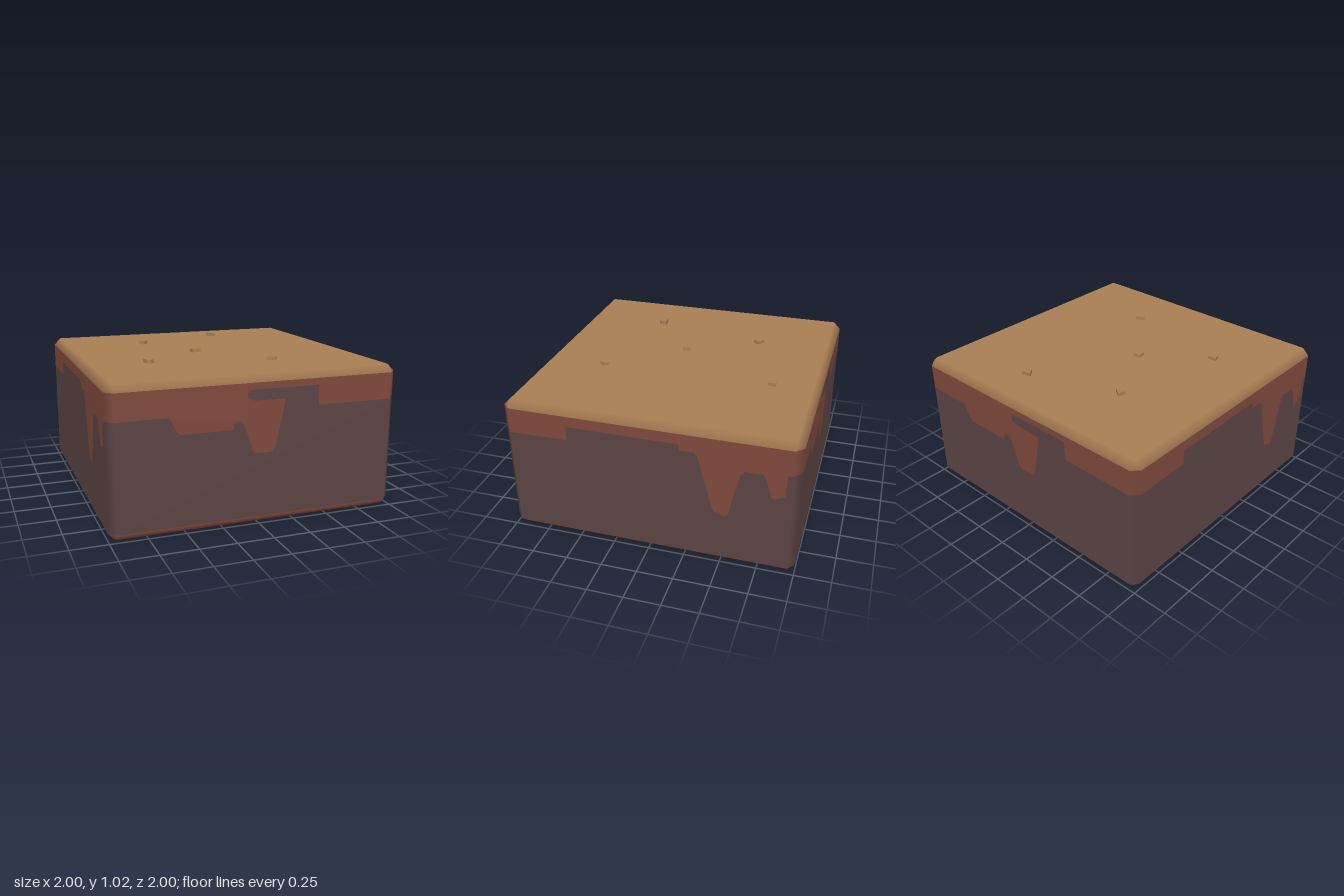
import * as THREE from 'three';

const H = 1, E = 0.95, C = 0.05, BAND = 0.77; // height, inner edge, chamfer, soil line

// Lower edge of the soil layer, left to right across a side (u, y)
const FRONT_EDGE = [
  [-0.95, 0.77], [-0.61, 0.77], [-0.59, 0.74], [-0.56, 0.68], [-0.53, 0.655], [-0.185, 0.655],
  [-0.18, 0.69], [-0.16, 0.71], [-0.13, 0.705], [-0.11, 0.68], [-0.05, 0.505], [-0.03, 0.485],
  [0.09, 0.485], [0.11, 0.52], [0.16, 0.76], [0.175, 0.83], [-0.05, 0.835], [-0.085, 0.85],
  [-0.09, 0.885], [-0.06, 0.905], [0.41, 0.905], [0.415, 0.77], [0.95, 0.77],
];
const SIDE_EDGE = [
  [-0.95, 0.77], [-0.545, 0.775], [-0.54, 0.875], [0.22, 0.875], [0.225, 0.83], [0.32, 0.83],
  [0.345, 0.8], [0.44, 0.44], [0.455, 0.405], [0.53, 0.38], [0.545, 0.395], [0.62, 0.72],
  [0.645, 0.75], [0.765, 0.75], [0.785, 0.72], [0.82, 0.59], [0.84, 0.58], [0.91, 0.61],
  [0.915, 0.76], [0.93, 0.77], [0.95, 0.77],
];

// Pebble outlines on the top (x, z)
const PEBBLES = [
  [[-0.4, -0.485], [-0.345, -0.445], [-0.38, -0.405], [-0.415, -0.43]],
  [[0.235, -0.69], [0.305, -0.7], [0.3, -0.645], [0.27, -0.64]],
  [[-0.1, 0.015], [-0.08, 0.07], [-0.145, 0.075], [-0.15, 0.03]],
  [[-0.59, 0.345], [-0.525, 0.345], [-0.525, 0.38], [-0.55, 0.405], [-0.575, 0.395]],
  [[0.24, 0.54], [0.3, 0.505], [0.32, 0.54], [0.3, 0.575]],
];

const toShape = (points) => new THREE.Shape(points.map(([x, y]) => new THREE.Vector2(x, y)));

// Triangle or quad whose corners take the normal of the flat face they touch
function facet(corners) {
  const normals = corners.flatMap(([x, y, z]) =>
    y === H ? [0, 1, 0] : y === 0 ? [0, -1, 0] : x === 1 ? [1, 0, 0] : [0, 0, z]);
  const geometry = new THREE.BufferGeometry();
  geometry.setAttribute('position', new THREE.Float32BufferAttribute(corners.flat(), 3));
  geometry.setAttribute('normal', new THREE.Float32BufferAttribute(normals, 3));
  geometry.setIndex(corners.length === 4 ? [0, 1, 2, 0, 2, 3] : [0, 1, 2]);
  return geometry;
}

function verticalChamfer(y0, y1) {
  return facet([[E, y0, 1], [1, y0, E], [1, y1, E], [E, y1, 1]]);
}

export function createModel() {
  const sand = new THREE.MeshStandardMaterial({ name: 'sand', color: 0xa97e54 });
  const soil = new THREE.MeshStandardMaterial({ name: 'redSoil', color: 0x80493c });
  const rock = new THREE.MeshStandardMaterial({ name: 'darkRock', color: 0x5c4444 });

  const model = new THREE.Group();
  model.name = 'groundBlock';
  const add = (parent, name, geometry, material) => {
    const mesh = new THREE.Mesh(geometry, material);
    mesh.name = name;
    parent.add(mesh);
    return mesh;
  };

  // Four sides, each with its chamfers and right-hand corner
  ['front', 'right', 'back', 'left'].forEach((name, i) => {
    const side = new THREE.Group();
    side.name = `${name}Side`;
    side.rotation.y = i * Math.PI / 2;
    model.add(side);

    const edge = i % 2 ? SIDE_EDGE : FRONT_EDGE;
    const upper = new THREE.ShapeGeometry(toShape([...edge, [E, E], [-E, E]]));
    const lower = new THREE.ShapeGeometry(toShape([...edge, [E, C], [-E, C]]));
    add(side, 'soilLayer', upper.translate(0, 0, 1), soil);
    add(side, 'rockFace', lower.translate(0, 0, 1), rock);

    add(side, 'soilCornerEdge', verticalChamfer(BAND, E), soil);
    add(side, 'rockCornerEdge', verticalChamfer(C, BAND), rock);
    add(side, 'topEdge', facet([[-E, E, 1], [E, E, 1], [E, H, E], [-E, H, E]]), sand);
    add(side, 'topCorner', facet([[E, E, 1], [1, E, E], [E, H, E]]), sand);
    add(side, 'bottomEdge', facet([[-E, 0, E], [E, 0, E], [E, C, 1], [-E, C, 1]]), soil);
    add(side, 'bottomCorner', facet([[E, C, 1], [E, 0, E], [1, C, E]]), soil);
  });

  // Flat top and underside
  add(model, 'sandTop', new THREE.PlaneGeometry(2 * E, 2 * E).rotateX(-Math.PI / 2).translate(0, H, 0), sand);
  add(model, 'underside', new THREE.PlaneGeometry(2 * E, 2 * E).rotateX(Math.PI / 2), soil);

  // Scattered pebbles
  for (const outline of PEBBLES) {
    const shape = toShape(outline.map(([x, z]) => [x, -z]));
    const geometry = new THREE.ExtrudeGeometry(shape, { depth: 0.025, bevelEnabled: false });
    add(model, 'pebble', geometry.rotateX(-Math.PI / 2).translate(0, H, 0), sand);
  }

  return model;
}
